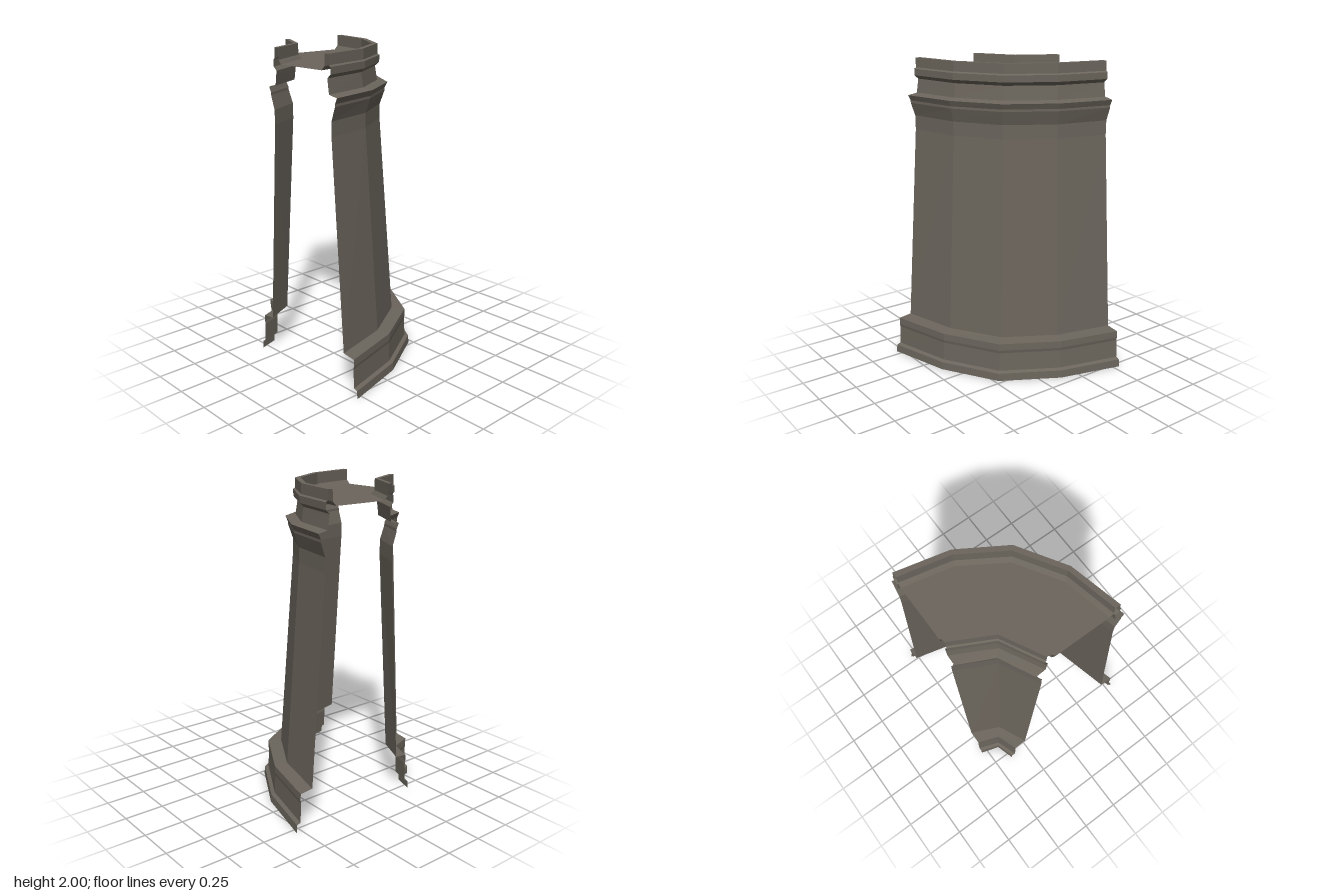
import * as THREE from 'three';

const stone = new THREE.MeshStandardMaterial({ color: 0x6b655c, side: THREE.DoubleSide });
stone.name = 'grey stone';
stone.flatShading = true;

// Footprints: [x, z, shift x, shift z], the shift being per unit of inset
const outerPath = [
  [0.54, -0.54, -1, 0],
  [0.43, -0.13, -0.84, -0.37],
  [0.225, 0.225, -0.7, -0.7],
  [-0.13, 0.43, -0.37, -0.84],
  [-0.54, 0.54, 0, -1],
];
const innerPath = [
  [-0.54, -0.383, 0, 0.97],
  [-0.42, -0.42, 0.56, 0.56],
  [-0.383, -0.54, 0.97, 0],
];

// Mouldings as [inset, height], bottom to top
const DECK_INSET = 0.285, DECK_Y = 1.905;
const sections = {
  Plinth: [[0, 0], [0.003, 0.05], [0.028, 0.06], [0.034, 0.18], [0.03, 0.2], [0.031, 0.245], [0.118, 0.255]],
  Wall: [[0.118, 0.255], [0.208, 1.54], [0.207, 1.63], [0.177, 1.715]],
  Cornice: [[0.177, 1.715], [0.177, 1.73], [0.16, 1.765], [0.225, 1.777], [0.238, 1.865]],
  Parapet: [[0.238, 1.865], [0.212, 1.888], [0.211, 1.93], [0.223, 1.938], [0.224, 2],
    [0.258, 2], [0.26, 1.93], [DECK_INSET, DECK_Y]],
};

const place = ([x, z, dx, dz], inset) => [x + dx * inset, z + dz * inset];

// Sweeps a moulding along a footprint as flat facets
function sweep(path, profile) {
  const pos = [];
  const at = (i, j) => {
    const [x, z] = place(path[j], profile[i][0]);
    return [x, profile[i][1], z];
  };
  for (let i = 0; i < profile.length - 1; i++) {
    for (let j = 0; j < path.length - 1; j++) {
      const a = at(i, j), b = at(i, j + 1), c = at(i + 1, j + 1), d = at(i + 1, j);
      pos.push(...a, ...d, ...b, ...b, ...d, ...c);
    }
  }
  const geo = new THREE.BufferGeometry();
  geo.setAttribute('position', new THREE.Float32BufferAttribute(pos, 3));
  geo.computeVertexNormals();
  return geo;
}

function addMesh(group, name, geo) {
  const mesh = new THREE.Mesh(geo, stone);
  mesh.name = name;
  group.add(mesh);
}

export function createModel() {
  const group = new THREE.Group();
  group.name = 'curvedWallCorner';

  // Outer and inner wall share the same mouldings
  for (const [side, path] of [['outer', outerPath], ['inner', innerPath]]) {
    const wall = new THREE.Group();
    wall.name = side + 'Side';
    for (const [part, profile] of Object.entries(sections)) addMesh(wall, side + part, sweep(path, profile));
    group.add(wall);
  }

  // Walkway between the two parapets
  const outline = [...outerPath, ...innerPath].map((p) => {
    const [x, z] = place(p, DECK_INSET);
    return new THREE.Vector2(x, -z);
  });
  const deck = new THREE.ShapeGeometry(new THREE.Shape(outline));
  deck.rotateX(-Math.PI / 2);
  deck.translate(0, DECK_Y, 0);
  addMesh(group, 'walkway', deck);

  return group;
}
